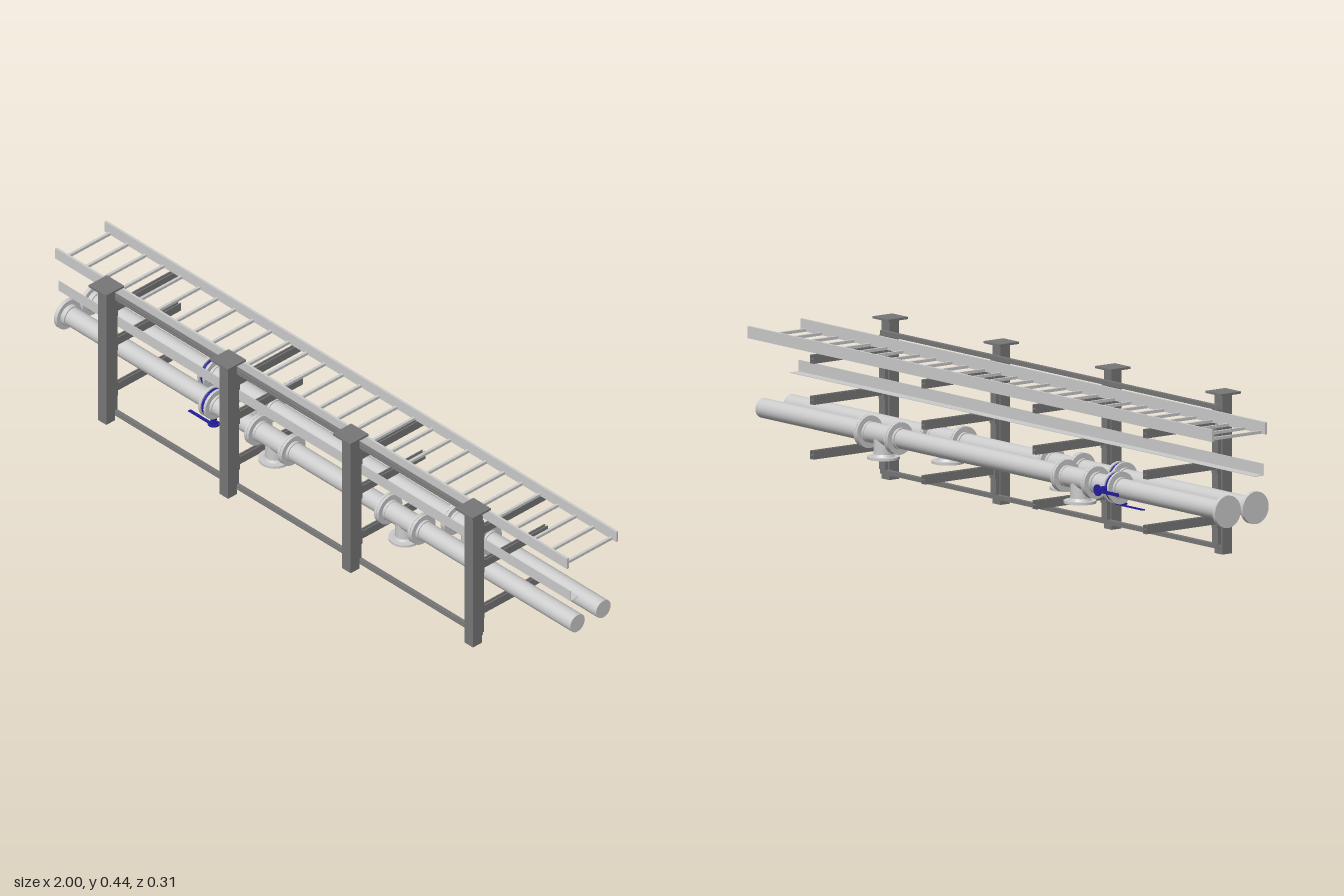
import * as THREE from 'three';

const grey = new THREE.MeshStandardMaterial({ color: 0xcccccc });
const steel = new THREE.MeshStandardMaterial({ color: 0x777777 });
const blue = new THREE.MeshStandardMaterial({ color: 0x221e99 });

const PIPE_Y = 0.172, PIPE_R = 0.027, FLANGE_R = 0.0445;

function add(parent, name, geometry, material, x = 0, y = 0, z = 0) {
  const mesh = new THREE.Mesh(geometry, material);
  mesh.name = name;
  mesh.position.set(x, y, z);
  parent.add(mesh);
  return mesh;
}

function group(parent, name, x = 0, y = 0, z = 0) {
  const g = new THREE.Group();
  g.name = name;
  g.position.set(x, y, z);
  parent.add(g);
  return g;
}

const box = (w, h, d) => new THREE.BoxGeometry(w, h, d);
const upright = (r, len, r2 = r) => new THREE.CylinderGeometry(r, r2, len, 32);
const along = (r, len) => upright(r, len).rotateZ(Math.PI / 2);

// Lipped strut channel, closed at y = 0 and open at y = h, running along z
function channel(w, h, len) {
  const t = 0.0014, a = w / 2, lip = 0.0035;
  const pts = [[-a, 0], [a, 0], [a, h], [a - lip, h], [a - lip, h - t], [a - t, h - t],
    [a - t, t], [t - a, t], [t - a, h - t], [lip - a, h - t], [lip - a, h], [-a, h]];
  const shape = new THREE.Shape(pts.map(p => new THREE.Vector2(...p)));
  return new THREE.ExtrudeGeometry(shape, { depth: len, bevelEnabled: false }).translate(0, 0, -len / 2);
}

// Post with head plate, mounting strut and three cantilever arms
function frame(parent, x) {
  const g = group(parent, 'supportFrame', x);
  add(g, 'post', box(0.033, 0.437, 0.033), steel, 0, 0.2185, 0.1185);
  add(g, 'headPlate', box(0.068, 0.006, 0.068), steel, 0, 0.44, 0.119);
  const strut = channel(0.024, 0.013, 0.367).rotateX(-Math.PI / 2);
  add(g, 'mountingStrut', strut, steel, 0, 0.2115, 0.103).rotation.set(0, 0, 0);
  strut.rotateZ(Math.PI).rotateX(Math.PI);
  strut.computeBoundingBox();
  strut.translate(0, 0, -strut.boundingBox.max.z);
  for (const y of [0.095, 0.2445, 0.357]) {
    const arm = group(g, 'arm', 0, y, -0.031);
    add(arm, 'upperChannel', channel(0.013, 0.012, 0.242), steel);
    add(arm, 'lowerChannel', channel(0.013, 0.012, 0.242).rotateZ(Math.PI), steel);
    add(arm, 'armPlate', box(0.024, 0.046, 0.004), steel, 0, 0, 0.12);
  }
}

// Pair of bolted flanges with weld necks
function joint(parent, x, gap = 0) {
  for (const s of [-1, 1]) {
    add(parent, 'flange', along(FLANGE_R, 0.008), grey, x + s * (gap / 2 + 0.0045));
    add(parent, 'flangeNeck', along(0.03, 0.008), grey, x + s * (gap / 2 + 0.0125));
  }
}

// Tee with a blanked branch pointing down
function tee(parent, x) {
  const g = group(parent, 'tee', x);
  add(g, 'teeBody', along(0.0285, 0.105), grey);
  add(g, 'branch', upright(PIPE_R, 0.062), grey, 0, -0.031);
  add(g, 'branchNeck', upright(PIPE_R, 0.007, 0.031), grey, 0, -0.0545);
  add(g, 'branchFlange', upright(FLANGE_R, 0.007), grey, 0, -0.0615);
  for (const s of [-1, 1]) joint(g, s * 0.065);
}

// Wafer valve with stem and lever, turned about the pipe
function valve(parent, x, turn) {
  joint(parent, x, 0.011);
  const g = group(parent, 'valve', x);
  g.rotation.x = turn;
  add(g, 'valveBody', along(0.0405, 0.0115), blue);
  add(g, 'valveNeck', upright(0.009, 0.02), blue, 0, -0.046);
  add(g, 'stem', upright(0.0055, 0.025), blue, 0, -0.06);
  add(g, 'stemCollar', upright(0.0095, 0.004), blue, 0, -0.064);
  add(g, 'notchPlate', upright(0.016, 0.003), blue, 0, -0.0705);
  add(g, 'lever', box(0.1, 0.003, 0.009), blue, -0.045, -0.0745);
}

function pipeline(parent, z, tees, valveX, valveTurn) {
  const g = group(parent, 'pipeline', 0, PIPE_Y, z);
  add(g, 'pipe', along(PIPE_R, 1.99), grey, 0.005);
  add(g, 'endFlange', along(FLANGE_R, 0.012), grey, -0.994);
  add(g, 'endNeck', along(0.031, 0.014), grey, -0.981);
  tees.forEach(x => tee(g, x));
  valve(g, valveX, valveTurn);
}

export function createModel() {
  const model = new THREE.Group();
  model.name = 'pipeRack';

  // Support frames tied by two long struts
  [-0.738, -0.262, 0.217, 0.695].forEach(x => frame(model, x));
  for (const y of [0.4015, 0.022]) {
    const rail = channel(0.012, 0.013, 1.45).rotateX(-Math.PI / 2).rotateZ(Math.PI / 2);
    add(model, 'tieStrut', rail, steel, -0.0215, y, 0.103);
    rail.rotateX(Math.PI);
    rail.computeBoundingBox();
    rail.translate(0, 0, -rail.boundingBox.max.z);
  }

  // Ladder tray on the top arms
  const ladder = group(model, 'ladderTray');
  for (const z of [0.0565, -0.1265]) add(ladder, 'ladderRail', box(2, 0.033, 0.007), grey, 0, 0.3855, z);
  for (let i = 0; i < 29; i++) add(ladder, 'rung', box(0.008, 0.008, 0.178), grey, -0.98 + i * 0.07, 0.373, -0.035);

  // Angle tray on the middle arms
  const tray = group(model, 'angleTray');
  add(tray, 'trayWall', box(2, 0.033, 0.0015), grey, 0, 0.2735, 0.0465);
  add(tray, 'trayFloor', box(2, 0.0015, 0.031), grey, 0, 0.258, 0.032);

  // Two pipelines on the lower arms
  pipeline(model, 0.021, [-0.183, 0.325], -0.422, 0);
  pipeline(model, -0.075, [-0.364, 0.483], -0.527, Math.PI / 2);
  return model;
}
